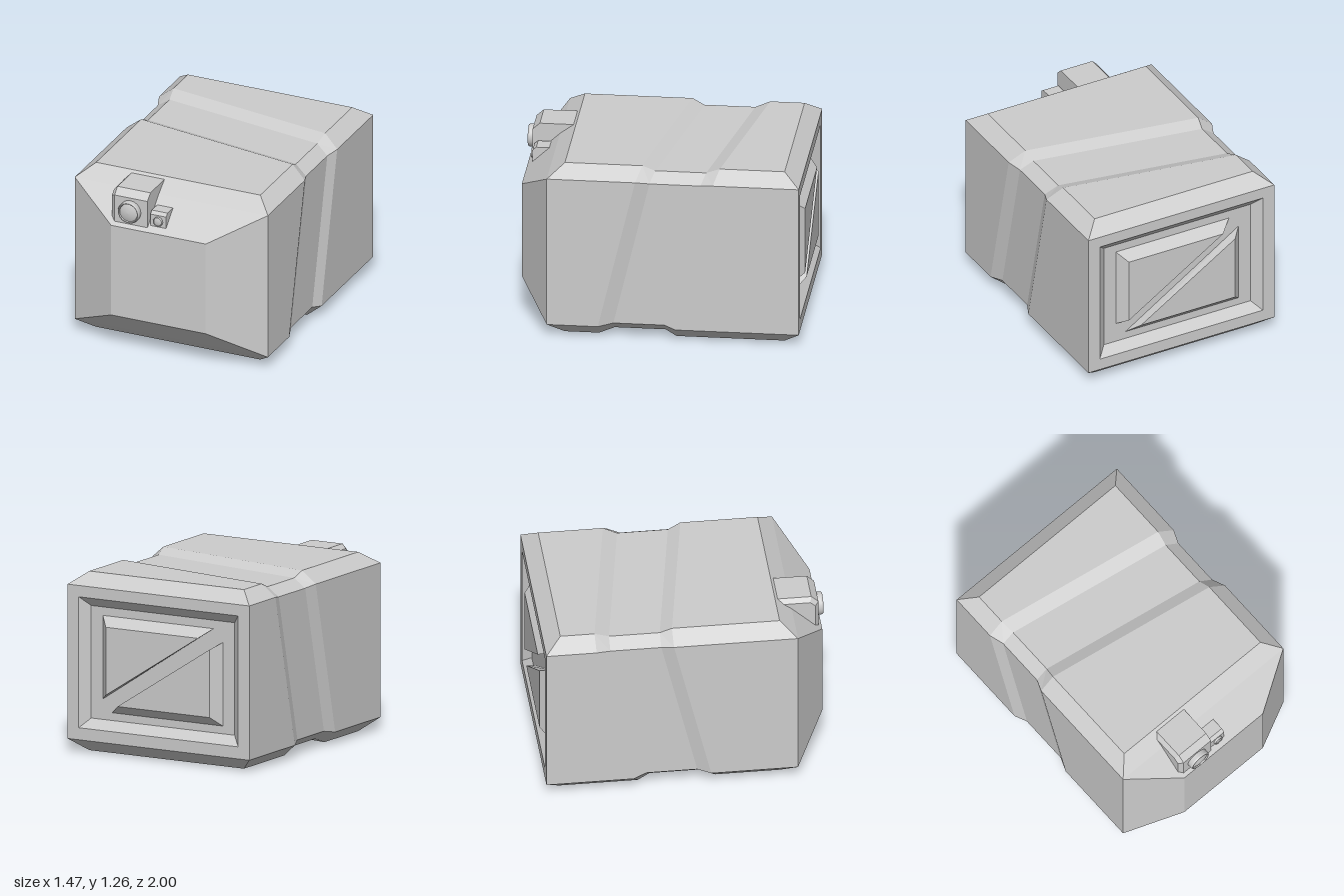
import * as THREE from 'three';

const material = new THREE.MeshStandardMaterial({ color: 0xcccccc, flatShading: true });
const smooth = new THREE.MeshStandardMaterial({ color: 0xcccccc });

// Skin a row of equal-length rings of [x, y, z] and cap both ends.
function loft(name, rings) {
  const pos = [];
  const tri = (a, b, c) => {
    const [A, B, C] = [a, b, c].map((p) => new THREE.Vector3(...p));
    if (B.sub(A).cross(C.sub(A)).length() > 1e-7) pos.push(...a, ...b, ...c);
  };
  const n = rings[0].length;
  for (let r = 0; r + 1 < rings.length; r++) {
    const a = rings[r], b = rings[r + 1];
    for (let i = 0; i < n; i++) {
      const j = (i + 1) % n;
      tri(a[i], a[j], b[j]);
      tri(a[i], b[j], b[i]);
    }
  }
  const first = rings[0], last = rings[rings.length - 1];
  for (let i = 1; i + 1 < n; i++) {
    tri(first[0], first[i + 1], first[i]);
    tri(last[0], last[i], last[i + 1]);
  }
  const geo = new THREE.BufferGeometry();
  geo.setAttribute('position', new THREE.Float32BufferAttribute(pos, 3));
  geo.computeVertexNormals();
  const mesh = new THREE.Mesh(geo, material);
  mesh.name = name;
  return mesh;
}

// Octagon: side edges at x = w between y0 and y1, flats at x = wt between b and t.
function octagon(w, y0, y1, wt, b, t, zSide, zFlat = zSide) {
  return [
    [w, y0, zSide], [w, y1, zSide], [wt, t, zFlat], [-wt, t, zFlat],
    [-w, y1, zSide], [-w, y0, zSide], [-wt, b, zFlat], [wt, b, zFlat],
  ];
}
const rect = (w, y0, y1, z) => octagon(w, y0, y1, w, y0, y1, z);

// Slanted ring for the groove that wraps the body.
const slant = (ring, z) => ring.map(([x, y]) => [x, y, z + 0.17 * x - 0.238 * (y - 0.635)]);

// Camera housing: wedge profile of [z, y] points extended along x.
function housing(name, sections) {
  return loft(name, sections.map(([x, profile]) => profile.map(([z, y]) => [x, y, z])));
}

// Round lens with a rim and a shallow dome, facing +z.
function lens(name, x, y, z, r, depth) {
  const profile = [[1, 0], [1, 0.7], [0.93, 0.93], [0.86, 0.93], [0.82, 0.72], [0.6, 0.86], [0.3, 0.97], [0, 1]];
  const pts = [];
  profile.forEach(([a, b], i) => {
    const p = new THREE.Vector2(a * r, b * depth);
    pts.push(p);
    if (i > 0 && i < 5) pts.push(p.clone()); // doubled points keep rim edges crisp
  });
  const geo = new THREE.LatheGeometry(pts, 32);
  geo.rotateX(Math.PI / 2);
  geo.translate(x, y, z);
  const mesh = new THREE.Mesh(geo, smooth);
  mesh.name = name;
  return mesh;
}

export function createModel() {
  const group = new THREE.Group();
  group.name = 'cameraPod';

  // Body: recessed back, bevelled box, slanted groove, tapered front
  const full = octagon(0.735, 0.09, 1.18, 0.625, 0, 1.265, 0);
  const inset = octagon(0.7, 0.108, 1.162, 0.61, 0.04, 1.225, 0);
  group.add(loft('body', [
    rect(0.58, 0.24, 1.035, -0.93),
    rect(0.645, 0.175, 1.1, -0.99),
    rect(0.735, 0.09, 1.18, -0.99),
    octagon(0.735, 0.09, 1.18, 0.625, 0, 1.265, -0.99, -0.88),
    slant(full, -0.385),
    slant(inset, -0.295),
    slant(inset, 0.06),
    slant(full, 0.155),
    octagon(0.735, 0.09, 1.18, 0.625, 0, 1.265, 0.765, 0.65),
    rect(0.735, 0.09, 1.18, 0.765),
    rect(0.36, 0.29, 0.98, 0.98),
  ]));

  // Raised back panel: two bevelled triangles with a diagonal groove between them
  const face = [[0.42, 0.43], [0.42, 0.91], [-0.325, 0.91]];
  const base = [[0.485, 0.385], [0.485, 0.975], [-0.41, 0.975]];
  const turn = (pts) => pts.map(([x, y]) => [-x, 1.27 - y]);
  const at = (pts, z) => pts.map(([x, y]) => [x, y, z]);
  group.add(loft('upperBackPanel', [at(face, -1), at(base, -0.93)]));
  group.add(loft('lowerBackPanel', [at(turn(face), -1), at(turn(base), -0.93)]));

  // Large camera, bevelled on its outer side
  const big = [[0.66, 1.25], [0.905, 1.25], [0.955, 1.205], [0.955, 1.0]];
  const bigInset = [[0.69, 1.22], [0.895, 1.22], [0.93, 1.19], [0.93, 1.0]];
  group.add(housing('largeCameraHousing', [[-0.375, bigInset], [-0.345, big], [-0.095, big]]));
  group.add(lens('largeLens', -0.225, 1.105, 0.953, 0.08, 0.047));

  // Small camera
  const small = [[0.82, 1.125], [0.915, 1.125], [0.94, 1.105], [0.94, 1.015]];
  group.add(housing('smallCameraHousing', [[-0.08, small], [0.04, small]]));
  group.add(lens('smallLens', -0.02, 1.06, 0.938, 0.035, 0.018));

  return group;
}
